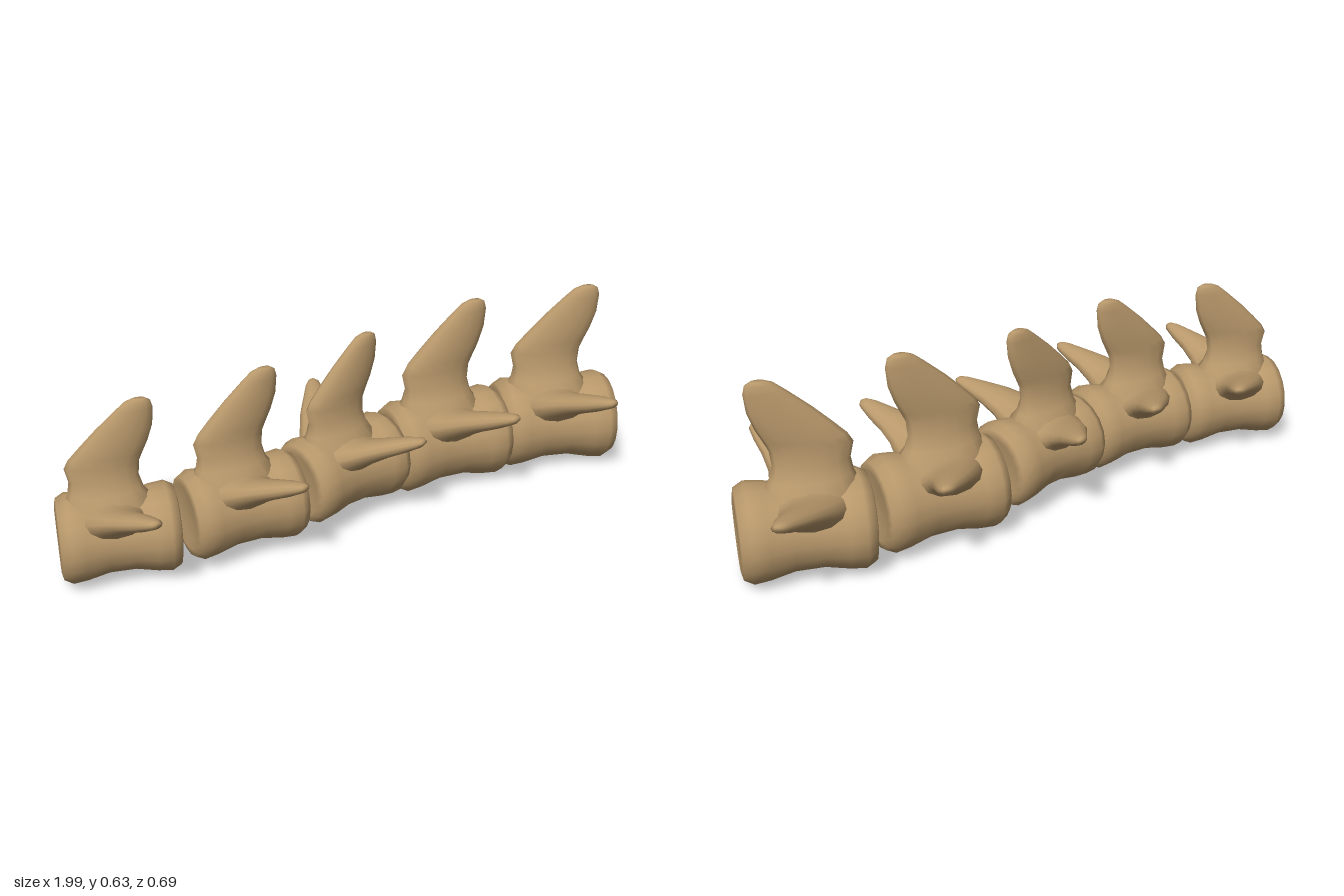
import * as THREE from 'three';

const bone = new THREE.MeshStandardMaterial({ color: 0xb8986b });
bone.name = 'bone';

// Skin over elliptical rings { c: centre, u, v: half axes }, closed with a cap at the tip.
function loft(rings, sides = 14) {
  const pos = [], index = [];
  const travel = rings[1].c.clone().sub(rings[0].c);
  const flip = rings[0].u.clone().cross(rings[0].v).dot(travel) < 0;
  const tri = (a, b, c) => index.push(a, ...(flip ? [c, b] : [b, c]));
  rings.forEach(({ c, u, v }, j) => {
    for (let i = 0; i < sides; i++) {
      const t = (i / sides) * Math.PI * 2;
      const p = c.clone().addScaledVector(u, Math.cos(t)).addScaledVector(v, Math.sin(t));
      pos.push(p.x, p.y, p.z);
      if (j === 0) continue;
      const n = (i + 1) % sides, lo = (j - 1) * sides, hi = j * sides;
      tri(lo + i, lo + n, hi + n);
      tri(lo + i, hi + n, hi + i);
    }
  });
  const last = (rings.length - 1) * sides, tip = rings.length * sides;
  pos.push(...rings[rings.length - 1].c.toArray());
  for (let i = 0; i < sides; i++) tri(tip, last + i, last + ((i + 1) % sides));
  const g = new THREE.BufferGeometry();
  g.setAttribute('position', new THREE.Float32BufferAttribute(pos, 3));
  g.setIndex(index);
  g.computeVertexNormals();
  return g;
}

// Spool-shaped body with dished ends, lying along x
function centrumGeometry() {
  const half = [[0, 0.168], [0.075, 0.17], [0.1, 0.182], [0.124, 0.177], [0.139, 0.15], [0.134, 0.105], [0.12, 0.04]];
  const profile = [
    ...half.map(([r, x]) => new THREE.Vector2(r, -x)),
    ...half.slice().reverse().map(([r, x]) => new THREE.Vector2(r, x)),
  ];
  return new THREE.LatheGeometry(profile, 18).rotateZ(-Math.PI / 2);
}

// Upright blade leaning toward +x: height, x from, x to, half thickness
function spineGeometry() {
  const rows = [
    [0.05, -0.16, 0.12, 0.11], [0.115, -0.155, 0.11, 0.082], [0.15, -0.14, 0.085, 0.055],
    [0.19, -0.133, 0.074, 0.038], [0.235, -0.143, 0.078, 0.033], [0.262, -0.128, 0.09, 0.033],
    [0.3, -0.092, 0.108, 0.032], [0.35, -0.042, 0.125, 0.028], [0.405, 0.02, 0.13, 0.022],
    [0.428, 0.048, 0.124, 0.018], [0.437, 0.07, 0.11, 0.01],
  ];
  return loft(rows.map(([y, x0, x1, t]) => ({
    c: new THREE.Vector3((x0 + x1) / 2, y, 0),
    u: new THREE.Vector3((x1 - x0) / 2, 0, 0),
    v: new THREE.Vector3(0, 0, t),
  })));
}

// Swept side wing: z, height, x from, x to, half thickness
function wingGeometry(side) {
  const rows = [
    [0.04, 0.06, -0.13, 0.1, 0.075], [0.09, 0.085, -0.108, 0.078, 0.05], [0.13, 0.105, -0.075, 0.075, 0.038],
    [0.18, 0.13, -0.035, 0.085, 0.03], [0.23, 0.151, 0.015, 0.1, 0.024], [0.27, 0.168, 0.055, 0.108, 0.016],
    [0.284, 0.174, 0.075, 0.1, 0.008],
  ];
  return loft(rows.map(([z, y, x0, x1, t]) => ({
    c: new THREE.Vector3((x0 + x1) / 2, y, side * z),
    u: new THREE.Vector3((x1 - x0) / 2, 0, 0),
    v: new THREE.Vector3(0, 0.91 * t, -side * 0.41 * t),
  })), 12);
}

export function createModel() {
  const model = new THREE.Group();
  model.name = 'vertebralColumn';
  const parts = {
    centrum: centrumGeometry(),
    neuralSpine: spineGeometry(),
    leftTransverseProcess: wingGeometry(1),
    rightTransverseProcess: wingGeometry(-1),
  };

  // Each vertebra: x, y, z, yaw in degrees, size
  const layout = [
    [-0.79, 0.15, -0.09, 18, 0.98],
    [-0.415, 0.163, -0.02, 6, 1],
    [-0.035, 0.172, -0.035, -6, 1],
    [0.365, 0.16, -0.045, 9, 1.09],
    [0.77, 0.154, 0.025, 21, 1.09],
  ];
  layout.forEach(([x, y, z, yaw, size], i) => {
    const vertebra = new THREE.Group();
    vertebra.name = `vertebra${i + 1}`;
    for (const [name, geometry] of Object.entries(parts)) {
      const mesh = new THREE.Mesh(geometry, bone);
      mesh.name = name;
      vertebra.add(mesh);
    }
    vertebra.position.set(x, y, z);
    vertebra.rotation.y = -THREE.MathUtils.degToRad(yaw);
    vertebra.scale.setScalar(size);
    model.add(vertebra);
  });
  return model;
}
